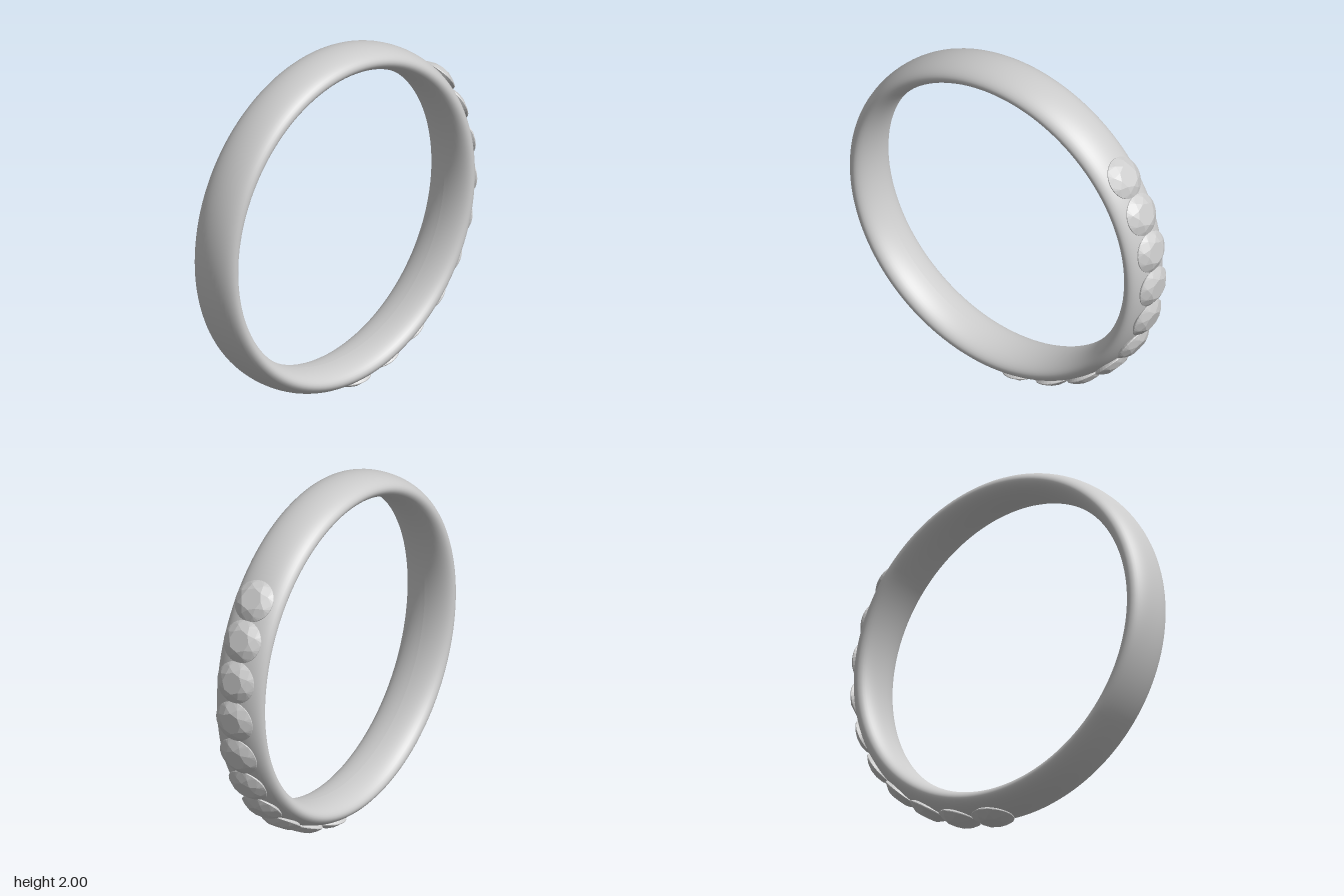
import * as THREE from 'three';
import { ConvexGeometry } from 'three/addons/geometries/ConvexGeometry.js';

const CENTER_X = -0.02, CENTER_Y = 1.02;

// Points evenly spaced on a horizontal circle
function circle(radius, y, count, turn = 0) {
  return Array.from({ length: count }, (_, i) => {
    const a = ((i + turn) / count) * Math.PI * 2;
    return new THREE.Vector3(Math.cos(a) * radius, y, Math.sin(a) * radius);
  });
}

// Round brilliant cut: table, crown, girdle and pavilion, facing +y
function gemGeometry() {
  return new ConvexGeometry([
    ...circle(0.062, 0.037, 8),
    ...circle(0.092, 0.022, 8, 0.5),
    ...circle(0.117, 0.001, 32),
    ...circle(0.117, -0.004, 32),
    new THREE.Vector3(0, -0.1, 0),
  ]);
}

export function createModel() {
  const model = new THREE.Group();
  const metal = new THREE.MeshStandardMaterial({ color: 0xcccccc });
  const stone = new THREE.MeshStandardMaterial({ color: 0xcccccc, flatShading: true });

  // Band: an oval cross-section swept around the finger axis
  const profile = [];
  for (let i = 0; i <= 40; i++) {
    const t = -Math.PI + (i / 40) * Math.PI * 2;
    profile.push(new THREE.Vector2(0.9125 + 0.0675 * Math.cos(t), 0.15 * Math.sin(t)));
  }
  const band = new THREE.Mesh(new THREE.LatheGeometry(profile, 128), metal);
  band.name = 'band';
  band.rotation.x = Math.PI / 2;
  band.position.set(CENTER_X, CENTER_Y, 0);
  model.add(band);

  // Row of ten stones along one side of the band
  const gems = new THREE.Group();
  gems.name = 'gemRow';
  const geometry = gemGeometry();
  for (let i = 0; i < 10; i++) {
    const angle = THREE.MathUtils.degToRad(36.6 - i * 13.33);
    const gem = new THREE.Mesh(geometry, stone);
    gem.name = `gem${i + 1}`;
    gem.position.set(CENTER_X + 0.979 * Math.cos(angle), CENTER_Y + 0.979 * Math.sin(angle), 0);
    gem.rotation.z = angle - Math.PI / 2;
    gems.add(gem);
  }
  model.add(gems);
  return model;
}
